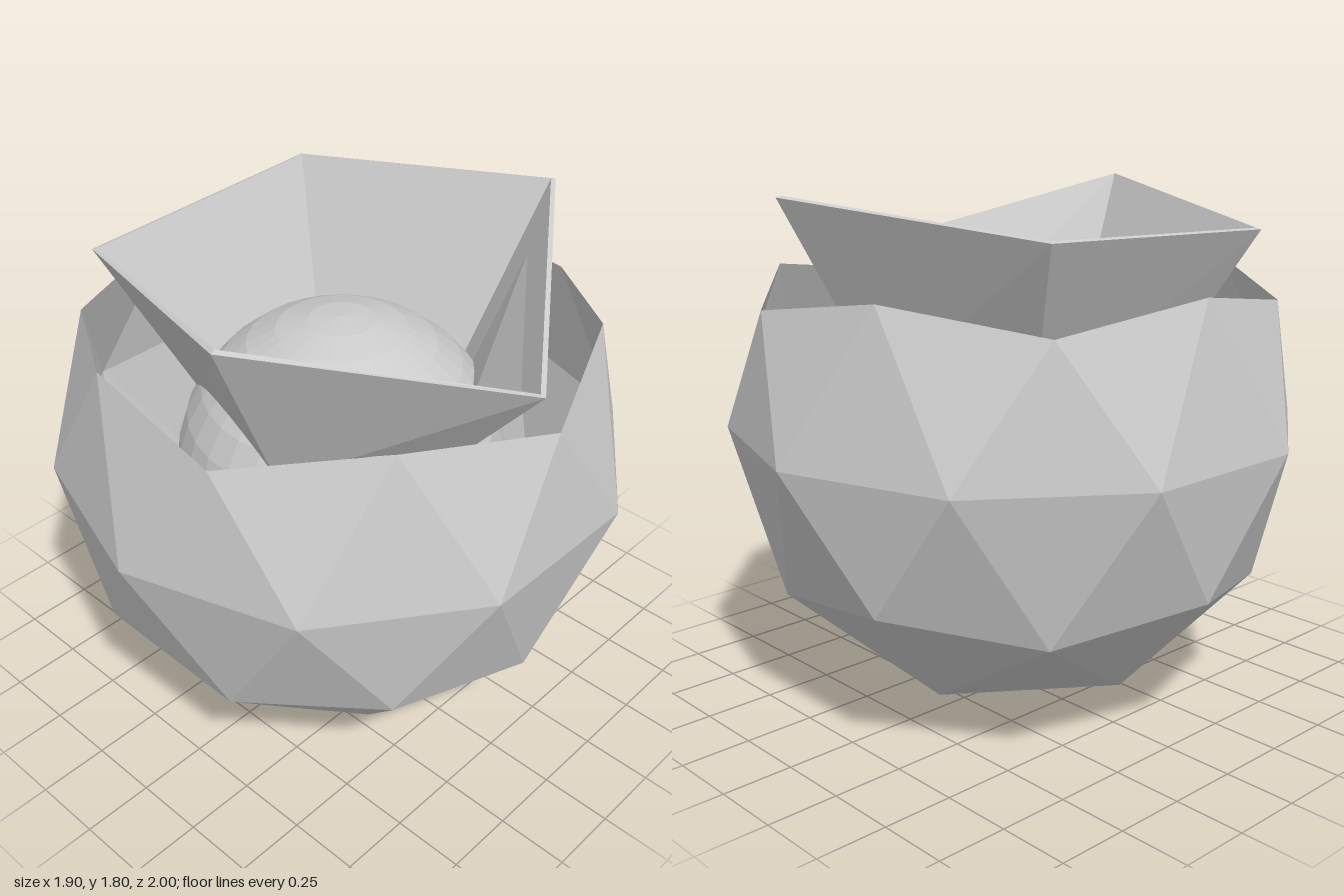
import * as THREE from 'three';

const material = new THREE.MeshStandardMaterial({ color: 0xcccccc, flatShading: true, side: THREE.DoubleSide });

function addMesh(group, name, geometry, y = 0) {
  const mesh = new THREE.Mesh(geometry, material);
  mesh.name = name;
  mesh.position.y = y;
  group.add(mesh);
}

// Faceted bowl: a once-divided icosahedron, one corner up, with the top cap cut away
function bowlGeometry() {
  const ball = new THREE.IcosahedronGeometry(1, 1);
  ball.rotateZ(-Math.atan(2 / (1 + Math.sqrt(5))));
  const p = ball.attributes.position;
  const kept = [];
  for (let i = 0; i < p.count; i += 3) {
    if (Math.min(p.getY(i), p.getY(i + 1), p.getY(i + 2)) > 0.4) continue;
    for (let k = i; k < i + 3; k++) kept.push(p.getX(k), p.getY(k), p.getZ(k));
  }
  const geometry = new THREE.BufferGeometry();
  geometry.setAttribute('position', new THREE.Float32BufferAttribute(kept, 3));
  geometry.computeVertexNormals();
  return geometry;
}

// Thin five-sided funnel: a level foot, with each corner rising to its own height
function collarGeometry() {
  const tops = [1.54, 1.8, 1.68, 1.71, 1.8];
  const footRadius = 0.48, footY = 1.13, topRadius = 0.83, wall = 0.02;
  const points = [], index = [];
  tops.forEach((top, i) => {
    const a = (i * Math.PI * 2) / 5;
    const section = [
      [footRadius, footY], [topRadius, top],
      [topRadius - wall, top + 0.005], [footRadius - wall, footY],
    ];
    for (const [r, y] of section) points.push(r * Math.cos(a), y, r * Math.sin(a));
    const j = (i + 1) % 5;
    for (let k = 0; k < 4; k++) {
      const n = (k + 1) % 4;
      index.push(i * 4 + k, i * 4 + n, j * 4 + k, j * 4 + k, i * 4 + n, j * 4 + n);
    }
  });
  const geometry = new THREE.BufferGeometry();
  geometry.setAttribute('position', new THREE.Float32BufferAttribute(points, 3));
  geometry.setIndex(index);
  const flat = geometry.toNonIndexed();
  flat.computeVertexNormals();
  return flat;
}

export function createModel() {
  const group = new THREE.Group();
  group.name = 'bowlWithCollar';
  addMesh(group, 'bowl', bowlGeometry(), 1);
  addMesh(group, 'collar', collarGeometry());
  // Ball held inside the bowl, closing the foot of the collar
  addMesh(group, 'innerBall', new THREE.SphereGeometry(0.58, 32, 16), 0.91);
  return group;
}
